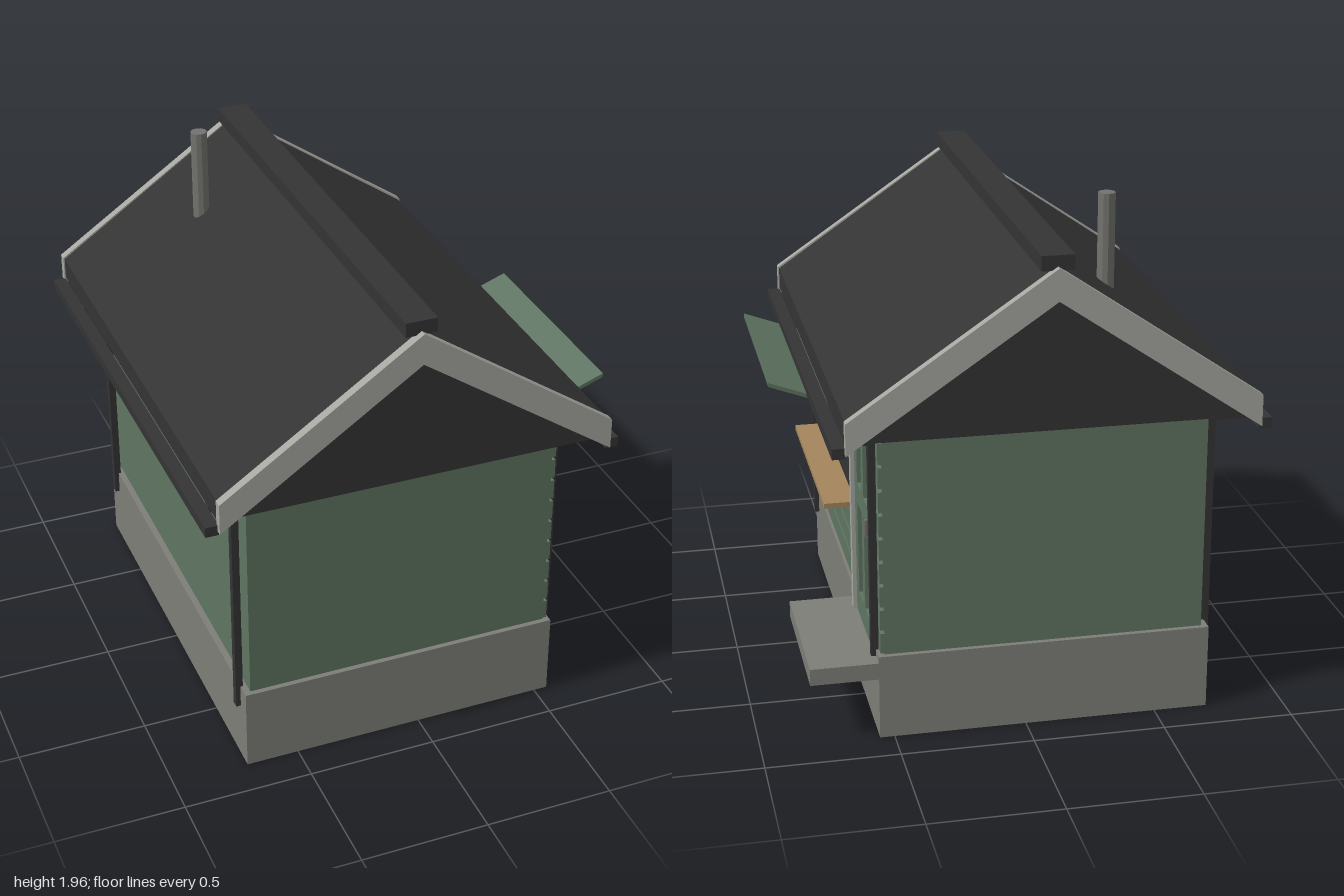
import * as THREE from 'three';

const mat = (name, color) => {
  const m = new THREE.MeshStandardMaterial({ color });
  m.name = name;
  return m;
};

export function createModel() {
  const stone = mat('stone grey', 0x7e7e78);
  const trim = mat('pale trim', 0xa6a6a0);
  const green = mat('wall green', 0x5f7562);
  const dark = mat('roof charcoal', 0x343435);
  const wood = mat('counter wood', 0xa5855c);
  const steel = mat('flue steel', 0x72726e);

  const house = new THREE.Group();
  house.name = 'kiosk';
  const RIDGE_X = -0.075;

  const add = (name, geometry, material, parent = house) => {
    const mesh = new THREE.Mesh(geometry, material);
    mesh.name = name;
    parent.add(mesh);
    return mesh;
  };
  // Box given by its extents on each axis
  const box = (name, material, [x0, x1], [y0, y1], [z0, z1], parent) => {
    const mesh = add(name, new THREE.BoxGeometry(x1 - x0, y1 - y0, z1 - z0), material, parent);
    mesh.position.set((x0 + x1) / 2, (y0 + y1) / 2, (z0 + z1) / 2);
    return mesh;
  };
  // Outline in the x-y plane, extruded from z0 to z1
  const prism = (name, material, points, z0, z1) => {
    const shape = new THREE.Shape(points.map(([x, y]) => new THREE.Vector2(x, y)));
    const geometry = new THREE.ExtrudeGeometry(shape, { depth: z1 - z0, bevelEnabled: false });
    geometry.translate(0, 0, z0);
    return add(name, geometry, material);
  };

  // Plinth, walls and doorstep
  box('plinth', stone, [-0.705, 0.555], [0, 0.33], [-0.86, 0.86]);
  box('walls', green, [-0.68, 0.53], [0.33, 1.215], [-0.84, 0.84]);
  box('doorstep', stone, [0.53, 0.81], [0.24, 0.305], [-0.86, -0.26]);

  // Horizontal boards on the serving side, either side of the door
  const siding = new THREE.Group();
  siding.name = 'siding';
  house.add(siding);
  const pitch = 0.093;
  for (let i = 0; i < 9; i++) {
    const y = 0.335 + i * pitch;
    for (const z of [[-0.33, 0.84], [-0.84, -0.79]]) {
      box('sidingBoard', green, [0.53, 0.545], [y, y + pitch - 0.014], z, siding);
    }
  }

  // Door: recessed slab with raised stiles and rails
  const door = new THREE.Group();
  door.name = 'door';
  house.add(door);
  box('doorSlab', green, [0.53, 0.545], [0.305, 1.16], [-0.75, -0.37], door);
  for (const [z0, z1] of [[-0.75, -0.69], [-0.585, -0.535], [-0.43, -0.37]]) {
    box('doorStile', green, [0.545, 0.56], [0.305, 1.16], [z0, z1], door);
  }
  for (const [y0, y1] of [[0.305, 0.4], [0.77, 0.85], [1.09, 1.16]]) {
    box('doorRail', green, [0.545, 0.56], [y0, y1], [-0.75, -0.37], door);
  }
  box('doorHandle', steel, [0.56, 0.575], [0.74, 0.81], [-0.703, -0.69], door);
  box('doorPost', trim, [0.53, 0.575], [0.305, 1.14], [-0.37, -0.33], door);
  box('doorPost', trim, [0.53, 0.565], [0.305, 1.14], [-0.79, -0.75], door);
  box('doorHeader', trim, [0.53, 0.59], [1.14, 1.21], [-0.51, -0.29], door);

  // Serving hatch, counter and propped flap
  box('hatch', dark, [0.54, 0.549], [0.72, 1.12], [-0.275, 0.56]);
  box('counter', wood, [0.53, 0.67], [0.7, 0.72], [-0.3, 0.58]);
  prism('hatchFlap', green,
    [[0.545, 1.09], [0.868, 1.209], [0.868, 1.225], [0.545, 1.106]], -0.3, 0.58);

  // Closed gable roof with ridge cap
  prism('roof', dark, [[RIDGE_X - 0.75, 1.21], [RIDGE_X + 0.75, 1.21],
    [RIDGE_X + 0.75, 1.295], [RIDGE_X, 1.81], [RIDGE_X - 0.75, 1.295]], -0.965, 0.965);
  box('ridgeCap', dark, [RIDGE_X - 0.06, RIDGE_X + 0.06], [1.8, 1.855], [-0.975, 0.975]);

  // Bargeboards over each gable
  const chevron = [[RIDGE_X - 0.755, 1.18], [RIDGE_X, 1.695], [RIDGE_X + 0.755, 1.18],
    [RIDGE_X + 0.755, 1.3], [RIDGE_X, 1.815], [RIDGE_X - 0.755, 1.3]];
  prism('bargeboard', trim, chevron, 0.965, 1);
  prism('bargeboard', trim, chevron, -1, -0.965);

  // Gutters with a downpipe at every corner
  for (const side of [-1, 1]) {
    const span = (a, b) => [RIDGE_X + side * a, RIDGE_X + side * b].sort((p, q) => p - q);
    box('gutter', dark, span(0.75, 0.8), [1.163, 1.203], [-0.975, 0.975]);
    for (const z of [-0.78, 0.785]) {
      const depth = [z - 0.015, z + 0.015];
      box('downpipe', dark, span(0.62, 0.648), [0.24, 1.163], depth);
      box('downpipeElbow', dark, span(0.648, 0.79), [1.138, 1.163], depth);
    }
  }

  // Stove flue
  const flueGeometry = new THREE.CylinderGeometry(0.032, 0.032, 0.46, 10).toNonIndexed();
  flueGeometry.computeVertexNormals();
  add('flue', flueGeometry, steel).position.set(-0.355, 1.73, -0.56);

  return house;
}
